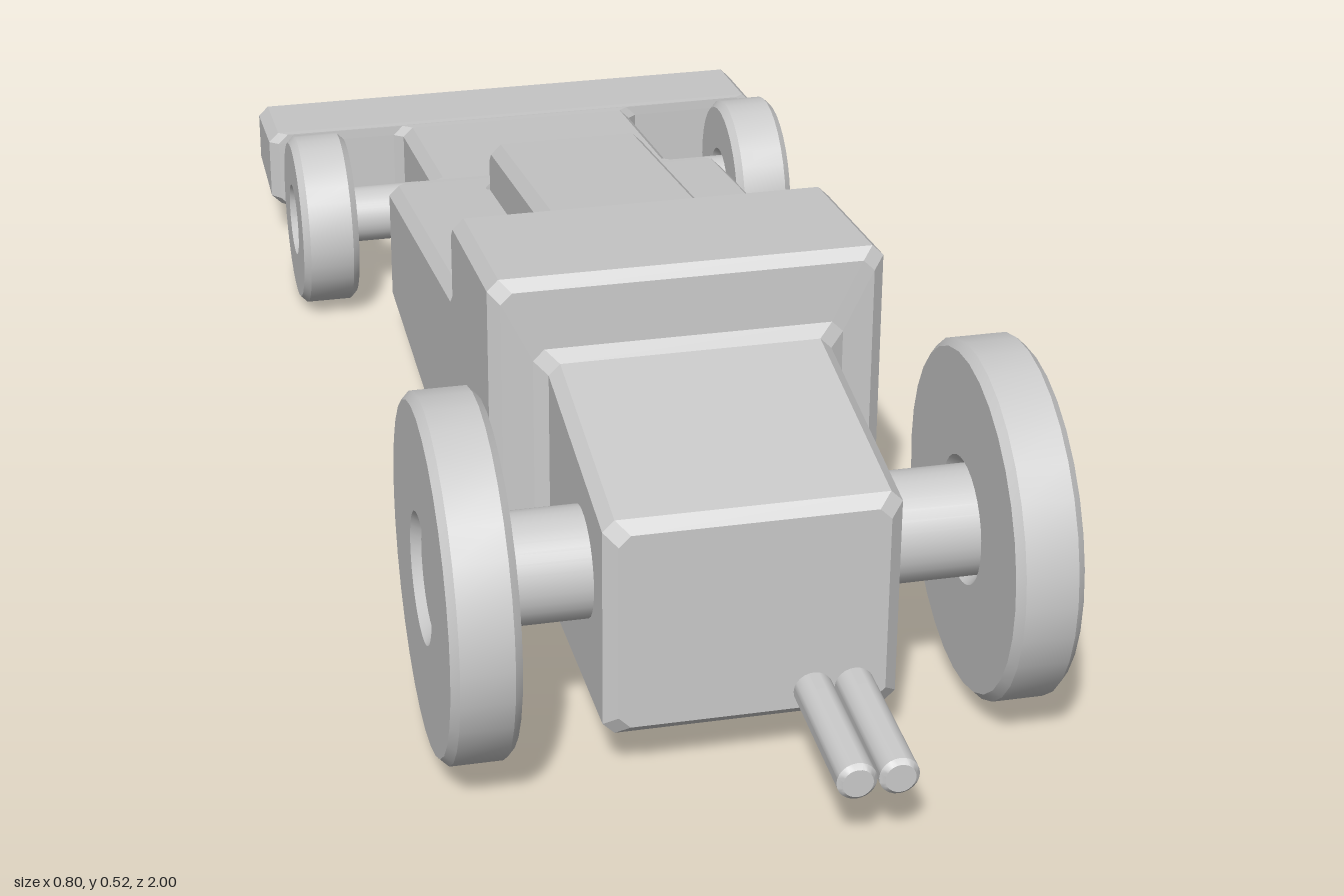
import * as THREE from 'three';
import { toCreasedNormals } from 'three/addons/utils/BufferGeometryUtils.js';

const smooth = new THREE.MeshStandardMaterial({ color: 0xcccccc });
const flat = new THREE.MeshStandardMaterial({ color: 0xcccccc, flatShading: true });

function add(parent, name, geometry, material = smooth) {
  const mesh = new THREE.Mesh(geometry, material);
  mesh.name = name;
  parent.add(mesh);
  return mesh;
}

// Joins chamfered rectangles along z; rows run from +z to -z as [z, halfWidth, bottom, top]
function loft(rows, c) {
  const pos = [], idx = [], n = 8;
  for (const [z, w, b, t] of rows) {
    const ring = [[w, b + c], [w, t - c], [w - c, t], [c - w, t], [-w, t - c], [-w, b + c], [c - w, b], [w - c, b]];
    for (const [x, y] of ring) pos.push(x, y, z);
  }
  for (let j = 0; j < rows.length - 1; j++) {
    for (let i = 0; i < n; i++) {
      const a = j * n + i, b = j * n + (i + 1) % n;
      idx.push(a, a + n, b, b, a + n, b + n);
    }
  }
  const last = (rows.length - 1) * n;
  for (let i = 1; i < n - 1; i++) {
    idx.push(0, i, i + 1, last, last + i + 1, last + i);
  }
  const g = new THREE.BufferGeometry();
  g.setAttribute('position', new THREE.Float32BufferAttribute(pos, 3));
  g.setIndex(idx);
  const out = g.toNonIndexed();
  out.computeVertexNormals();
  return out;
}

// Wheel ring with chamfered rim and hub hole, axis along x
function wheelGeometry(R, hub, half) {
  const profile = [
    [hub, -half + 0.015], [hub + 0.012, -half], [R - 0.01, -half], [R, -half + 0.01],
    [R, half - 0.01], [R - 0.01, half], [hub + 0.012, half], [hub, half - 0.015],
  ].map(([r, y]) => new THREE.Vector2(r, y));
  return toCreasedNormals(new THREE.LatheGeometry(profile, 32).rotateZ(Math.PI / 2), 0.6);
}

function wheelSet(name, R, hub, y, z) {
  const set = new THREE.Group();
  set.name = name;
  set.position.set(0, y, z);
  add(set, 'axle', new THREE.CylinderGeometry(hub, hub, 0.748, 32).rotateZ(Math.PI / 2));
  for (const side of [1, -1]) {
    const wheel = add(set, side > 0 ? 'leftWheel' : 'rightWheel', wheelGeometry(R, hub, 0.043));
    wheel.position.x = side * 0.343;
  }
  return set;
}

export function createModel() {
  const car = new THREE.Group();
  car.name = 'racingCar';

  // Engine block, cabin, sloping deck, nose and wing in one body
  add(car, 'body', loft([
    [0.795, 0.168, 0.085, 0.355],
    [0.78, 0.185, 0.07, 0.37],
    [0.447, 0.185, 0.045, 0.408],
    [0.436, 0.203, 0.045, 0.425],
    [0.434, 0.243, 0.058, 0.507],
    [0.42, 0.258, 0.044, 0.521],
    [0.155, 0.258, 0.05, 0.484],
    [0.14, 0.258, 0.05, 0.468],
    [0.14, 0.258, 0.05, 0.378],
    [0.12, 0.258, 0.05, 0.36],
    [-0.46, 0.258, 0.062, 0.256],
    [-0.476, 0.243, 0.062, 0.253],
    [-0.477, 0.2, 0.062, 0.252],
    [-0.49, 0.186, 0.062, 0.25],
    [-0.8, 0.186, 0.069, 0.2],
    [-0.815, 0.2, 0.07, 0.198],
    [-0.82, 0.386, 0.071, 0.197],
    [-0.833, 0.4, 0.072, 0.196],
    [-0.985, 0.4, 0.075, 0.178],
    [-1.0, 0.386, 0.088, 0.163],
  ], 0.015), flat);

  // Raised cover on the deck
  add(car, 'deckCover', loft([
    [0.07, 0.13, 0.3, 0.355],
    [0.053, 0.115, 0.3, 0.37],
    [0.053, 0.115, 0.3, 0.41],
    [0.038, 0.115, 0.3, 0.424],
    [-0.375, 0.115, 0.22, 0.348],
    [-0.39, 0.115, 0.22, 0.332],
    [-0.39, 0.115, 0.22, 0.29],
    [-0.408, 0.13, 0.22, 0.268],
  ], 0.015), flat);

  car.add(wheelSet('largeWheels', 0.23, 0.071, 0.246, 0.66));
  car.add(wheelSet('smallWheels', 0.131, 0.043, 0.133, -0.635));

  // Twin exhaust pipes with chamfered ends
  const pipe = [[0, 0], [0.025, 0], [0.025, 0.264], [0.019, 0.27], [0, 0.27]]
    .map(([r, y]) => new THREE.Vector2(r, y));
  for (const x of [0.076, 0.128]) {
    const g = toCreasedNormals(new THREE.LatheGeometry(pipe, 24).rotateX(Math.PI / 2), 0.6);
    add(car, 'exhaustPipe', g).position.set(x, 0.109, 0.73);
  }
  return car;
}
